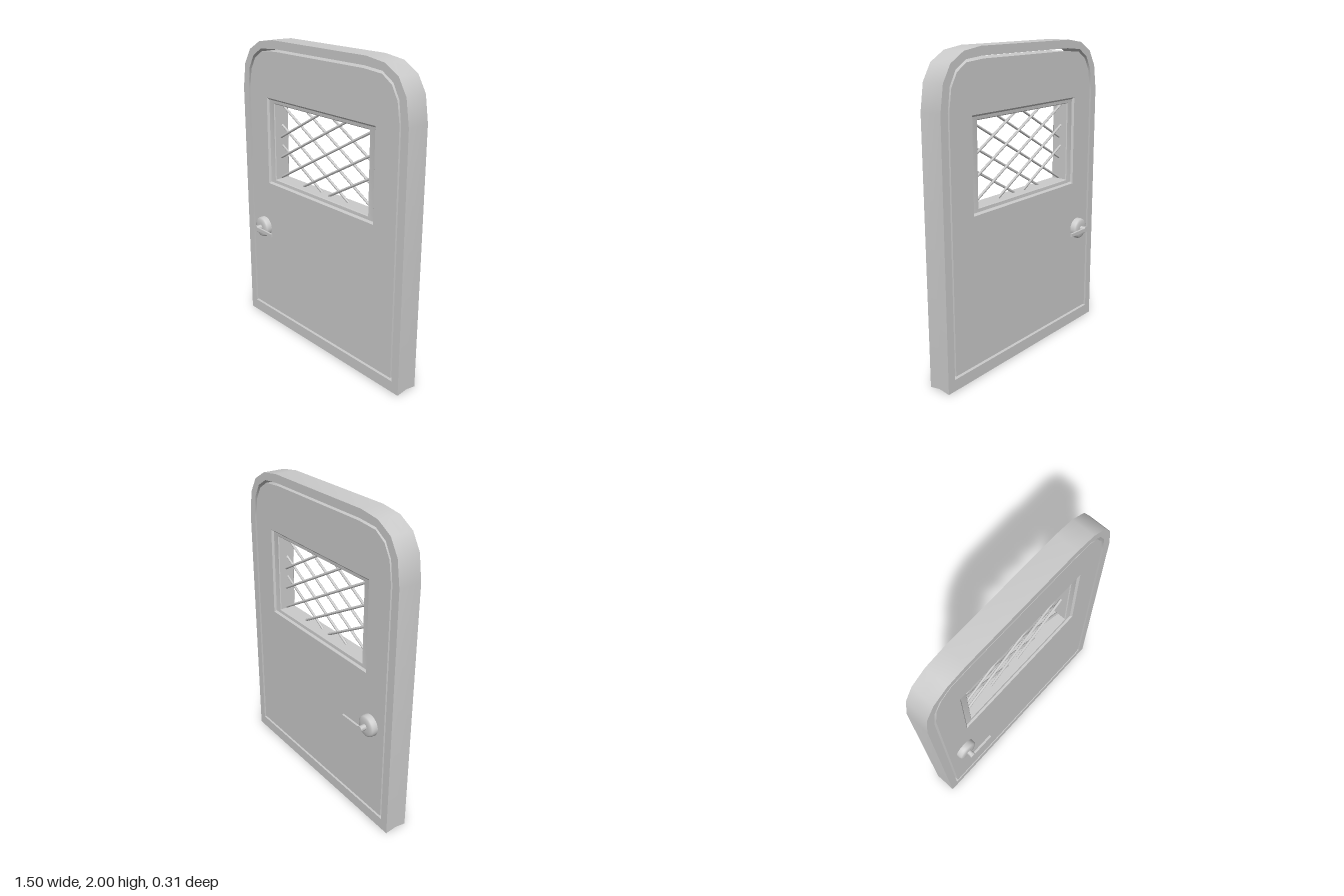
import * as THREE from 'three';
import { toCreasedNormals } from 'three/addons/utils/BufferGeometryUtils.js';

const material = new THREE.MeshStandardMaterial({ color: 0xcccccc });

function part(name, geometry, parent, crease = 0.6) {
  const mesh = new THREE.Mesh(toCreasedNormals(geometry, crease), material);
  mesh.name = name;
  parent.add(mesh);
  return mesh;
}

// Mirrored outline with a flat bottom and faceted rounded top corners
function archPoints(bottom, right) {
  const half = [[right[0][0], bottom], ...right];
  const left = half.map(([x, y]) => [-x, y]).reverse();
  return [...half, ...left].map(([x, y]) => new THREE.Vector2(x, y));
}

function rectPath(w, h, cy) {
  return new THREE.Path([[-w, -h], [-w, h], [w, h], [w, -h]].map(([x, y]) => new THREE.Vector2(x, cy + y)));
}

function slab(shape, depth, steps = 1) {
  const g = new THREE.ExtrudeGeometry(shape, { depth, steps, bevelEnabled: false });
  return g.translate(0, 0, -depth / 2);
}

// Strip of rectangles [halfWidth, halfHeight, z], joined from front to back
function rectLoft(rings, cy) {
  const corners = [[-1, -1], [1, -1], [1, 1], [-1, 1]];
  const pos = [], index = [];
  rings.forEach(([w, h, z]) => corners.forEach(([x, y]) => pos.push(x * w, cy + y * h, z)));
  for (let r = 0; r < rings.length - 1; r++) {
    for (let i = 0; i < 4; i++) {
      const a = r * 4 + i, b = r * 4 + (i + 1) % 4;
      index.push(a, b, b + 4, a, b + 4, a + 4);
    }
  }
  const g = new THREE.BufferGeometry();
  g.setAttribute('position', new THREE.Float32BufferAttribute(pos, 3));
  g.setIndex(index);
  return g;
}

function rod(a, b, radius) {
  return new THREE.TubeGeometry(new THREE.LineCurve3(a, b), 1, radius, 8, false);
}

export function createModel() {
  const model = new THREE.Group();
  model.name = 'door';

  // Frame, with a shallow crease along its underside
  const frame = new THREE.Shape(archPoints(0, [[0.75, 1.66], [0.725, 1.82], [0.665, 1.92], [0.56, 1.98], [0.42, 2]]));
  frame.holes.push(new THREE.Path(
    archPoints(0.075, [[0.695, 1.66], [0.675, 1.8], [0.627, 1.885], [0.545, 1.935], [0.41, 1.947]]).reverse()));
  const frameGeometry = slab(frame, 0.15, 2);
  const p = frameGeometry.attributes.position;
  for (let i = 0; i < p.count; i++) {
    if (p.getY(i) < 0.001 && Math.abs(p.getZ(i)) < 0.01) p.setY(i, 0.012);
  }
  part('frame', frameGeometry, model);

  // Door leaf, separated from the frame by a narrow gap
  const cy = 1.333, w = 0.44, h = 0.257;
  const leaf = new THREE.Shape(archPoints(0.09, [[0.68, 1.66], [0.66, 1.79], [0.615, 1.87], [0.54, 1.918], [0.4, 1.93]]));
  leaf.holes.push(rectPath(0.5, 0.293, cy));
  part('doorLeaf', slab(leaf, 0.144), model);

  // Recessed window surround on both faces, and the reveal between them
  const face = [[0.5, 0.293, 0.072], [0.488, 0.281, 0.06], [w + 0.005, h + 0.005, 0.057], [w, h, 0.052]];
  const back = face.map(([a, b, z]) => [a, b, -z]).reverse();
  part('windowSurround', rectLoft([...face, ...back], cy), model, 0.3);

  // Diagonal lattice bars, clipped to the opening
  const lattice = new THREE.Group();
  lattice.name = 'windowLattice';
  model.add(lattice);
  const slope = 0.565;
  for (const dir of [1, -1]) {
    for (let k = -2; k <= 2; k++) {
      const offset = k * 0.139;
      const ends = [(-h - offset) / slope, (h - offset) / slope]
        .map((x) => THREE.MathUtils.clamp(x, -w, w))
        .map((x) => new THREE.Vector3(x * dir, cy + offset + slope * x, dir * 0.006));
      part('latticeBar', rod(ends[0], ends[1], 0.008), lattice, 1.2);
    }
  }

  // Lever handle on each face; the back one is the front one turned about x
  for (const [name, turn] of [['frontHandle', 0], ['backHandle', Math.PI]]) {
    const handle = new THREE.Group();
    handle.name = name;
    handle.position.set(-0.555, 0.71, 0);
    handle.rotation.x = turn;
    model.add(handle);

    const profile = [[0.07, 0.06], [0.07, 0.098], [0.066, 0.108], [0.056, 0.114], [0.03, 0.116], [0, 0.116]];
    const rose = new THREE.LatheGeometry(profile.map(([r, y]) => new THREE.Vector2(r, y)), 32);
    part('rose', rose.rotateX(Math.PI / 2), handle, 0.8);

    const spindle = new THREE.CylinderGeometry(0.017, 0.019, 0.05, 20);
    part('spindle', spindle.rotateX(Math.PI / 2).translate(0, 0, 0.13), handle);

    // Lever: rounded hub end tapering to a thin bar
    const lever = new THREE.Shape();
    lever.absarc(0, 0, 0.02, 0.65, Math.PI * 2 - 0.65, false);
    lever.lineTo(0.17, -0.011);
    lever.lineTo(0.17, 0.011);
    lever.closePath();
    part('lever', slab(lever, 0.014).translate(0, 0, 0.149), handle);
  }
  return model;
}
